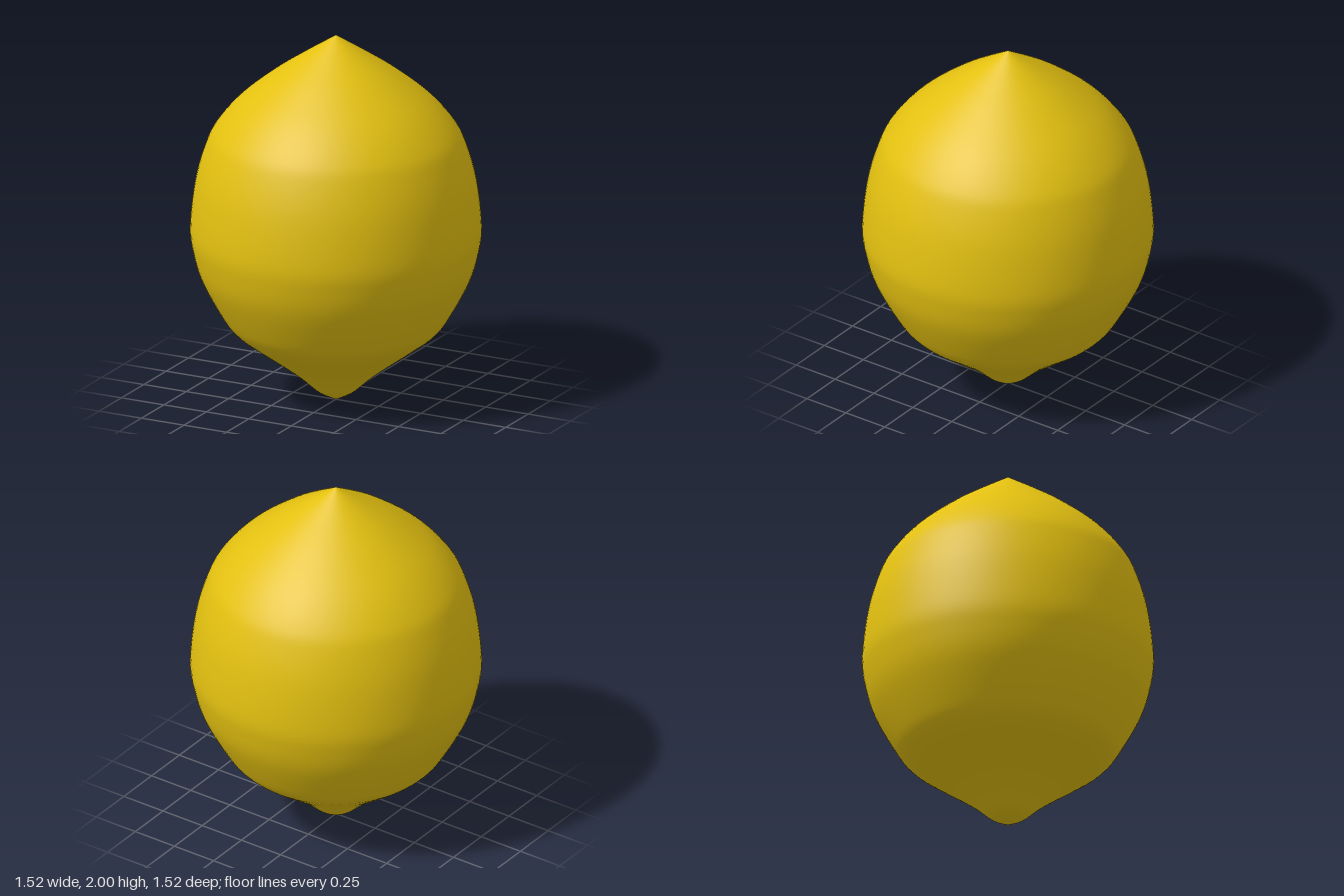
import * as THREE from 'three';

export function createModel() {
  const group = new THREE.Group();
  group.name = 'lemon';
  const peelYellow = new THREE.MeshStandardMaterial({ color: 0xe3c010 });
  peelYellow.name = 'peelYellow';

  // Half outline of the fruit from blossom tip to stem tip: [radius, height]
  const outline = [
    [0, 0], [0.095, 0.05], [0.18, 0.125], [0.275, 0.2], [0.44, 0.32],
    [0.54, 0.4], [0.605, 0.49], [0.70, 0.67], [0.745, 0.82], [0.76, 0.96],
    [0.733, 1.2], [0.68, 1.39], [0.625, 1.5], [0.51, 1.635], [0.34, 1.775],
    [0.18, 1.885], [0, 2],
  ].map(([r, y]) => new THREE.Vector2(r, y));

  const profile = new THREE.SplineCurve(outline).getPoints(80);
  profile.forEach((p) => { p.x = Math.max(p.x, 0); });

  // Whole fruit as one smooth turned body
  const fruit = new THREE.Mesh(new THREE.LatheGeometry(profile, 96), peelYellow);
  fruit.name = 'fruitBody';
  group.add(fruit);
  return group;
}
